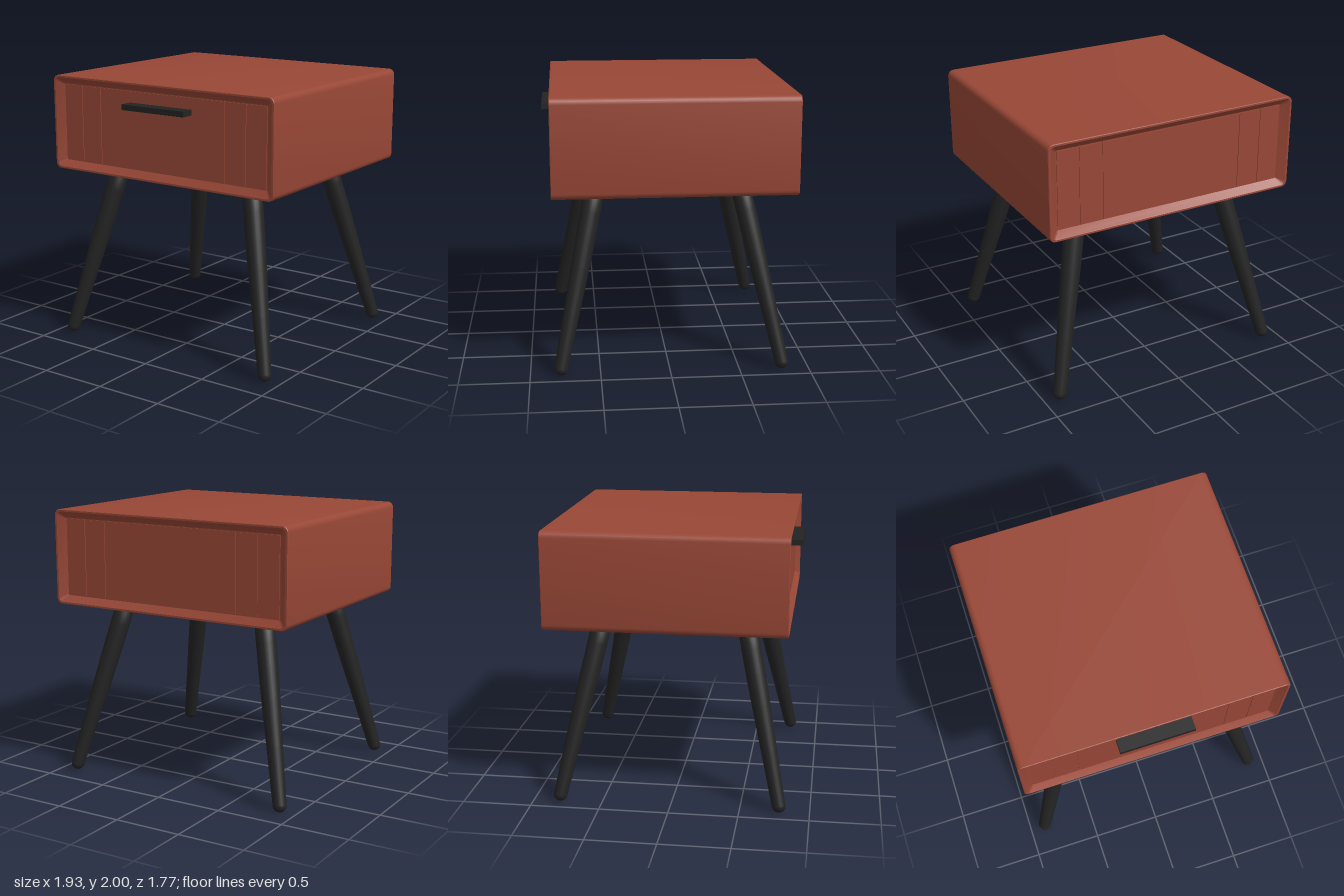
import * as THREE from 'three';
import { mergeVertices, toCreasedNormals } from 'three/addons/utils/BufferGeometryUtils.js';

const red = new THREE.MeshStandardMaterial({ name: 'terracotta', color: 0x984736 });
const black = new THREE.MeshStandardMaterial({ name: 'charcoal', color: 0x232323 });

const MID_Y = 1.65, FRONT = 0.825, BACK = -0.885, DEPTH = 0.045;

// Rounded rectangle in XY, listed counter-clockwise as seen from +z
function ring(hw, hh, r, z, steps = 5) {
  const pts = [];
  for (let c = 0; c < 4; c++) {
    const sx = c === 0 || c === 3 ? 1 : -1;
    const sy = c < 2 ? 1 : -1;
    for (let i = 0; i <= steps; i++) {
      const a = (c + i / steps) * Math.PI / 2;
      pts.push([sx * (hw - r) + r * Math.cos(a), MID_Y + sy * (hh - r) + r * Math.sin(a), z]);
    }
  }
  return pts;
}

// Skin through successive rings, closed by a fan at each end
function loft(rings) {
  const n = rings[0].length, pos = rings.flat(2), idx = [];
  for (let k = 0; k < rings.length - 1; k++) {
    for (let i = 0; i < n; i++) {
      const a = k * n + i, b = k * n + (i + 1) % n;
      idx.push(a, b, b + n, a, b + n, a + n);
    }
  }
  const last = (rings.length - 1) * n;
  for (let i = 1; i < n - 1; i++) {
    idx.push(0, i + 1, i);
    idx.push(last, last + i, last + i + 1);
  }
  const g = new THREE.BufferGeometry();
  g.setAttribute('position', new THREE.Float32BufferAttribute(pos, 3));
  g.setIndex(idx);
  return toCreasedNormals(mergeVertices(g), 0.5);
}

function add(parent, name, geometry, material, x = 0, y = 0, z = 0) {
  const mesh = new THREE.Mesh(geometry, material);
  mesh.name = name;
  mesh.position.set(x, y, z);
  parent.add(mesh);
  return mesh;
}

// Tapered leg with a rounded foot, running from foot centre to top
function addLeg(parent, name, foot, top) {
  const dir = top.clone().sub(foot), len = dir.length();
  const profile = [];
  for (let i = 0; i <= 6; i++) {
    const a = -Math.PI / 2 + i / 6 * Math.PI / 2;
    profile.push(new THREE.Vector2(0.049 * Math.cos(a), 0.049 * Math.sin(a)));
  }
  for (const [r, t] of [[0.058, 0.3], [0.067, 0.55], [0.071, 0.72], [0.072, 0.85], [0.071, 1]]) {
    profile.push(new THREE.Vector2(r, len * t));
  }
  profile.push(new THREE.Vector2(0, len));
  const leg = add(parent, name, new THREE.LatheGeometry(profile, 24), black, foot.x, foot.y, foot.z);
  leg.quaternion.setFromUnitVectors(new THREE.Vector3(0, 1, 0), dir.normalize());
}

export function createModel() {
  const model = new THREE.Group();
  model.name = 'bedsideTable';

  // Cabinet shell with a sloping recess at front and back
  add(model, 'cabinet', loft([
    ring(0.89, 0.287, 0.008, BACK + DEPTH),
    ring(0.94, 0.33, 0.03, BACK + 0.004),
    ring(0.946, 0.334, 0.034, BACK),
    ring(0.961, 0.346, 0.04, BACK),
    ring(0.965, 0.35, 0.044, BACK + 0.005),
    ring(0.965, 0.35, 0.044, FRONT - 0.005),
    ring(0.961, 0.346, 0.04, FRONT),
    ring(0.946, 0.334, 0.034, FRONT),
    ring(0.94, 0.33, 0.03, FRONT - 0.004),
    ring(0.89, 0.287, 0.008, FRONT - DEPTH),
  ]), red);

  // Panels divided by narrow vertical grooves
  const cuts = [-0.887, -0.72, -0.545, 0.545, 0.72, 0.887], gap = 0.005;
  for (const [name, z] of [['drawerFront', FRONT - DEPTH], ['backPanel', BACK + DEPTH]]) {
    const panel = new THREE.Group();
    panel.name = name;
    for (let i = 0; i < cuts.length - 1; i++) {
      const w = cuts[i + 1] - cuts[i] - gap;
      add(panel, name + 'Board', new THREE.BoxGeometry(w, 0.562, 0.012), red,
        (cuts[i] + cuts[i + 1]) / 2, MID_Y, z);
    }
    model.add(panel);
  }

  // Drawer pull
  add(model, 'handle', new THREE.BoxGeometry(0.54, 0.04, 0.11), black, 0, 1.83, 0.83);

  // Four splayed legs
  for (const [side, sx] of [['Left', 1], ['Right', -1]]) {
    addLeg(model, 'frontLeg' + side, new THREE.Vector3(sx * 0.88, 0.05, 0.78), new THREE.Vector3(sx * 0.585, 1.32, 0.51));
    addLeg(model, 'backLeg' + side, new THREE.Vector3(sx * 0.88, 0.05, -0.805), new THREE.Vector3(sx * 0.585, 1.32, -0.52));
  }
  return model;
}
